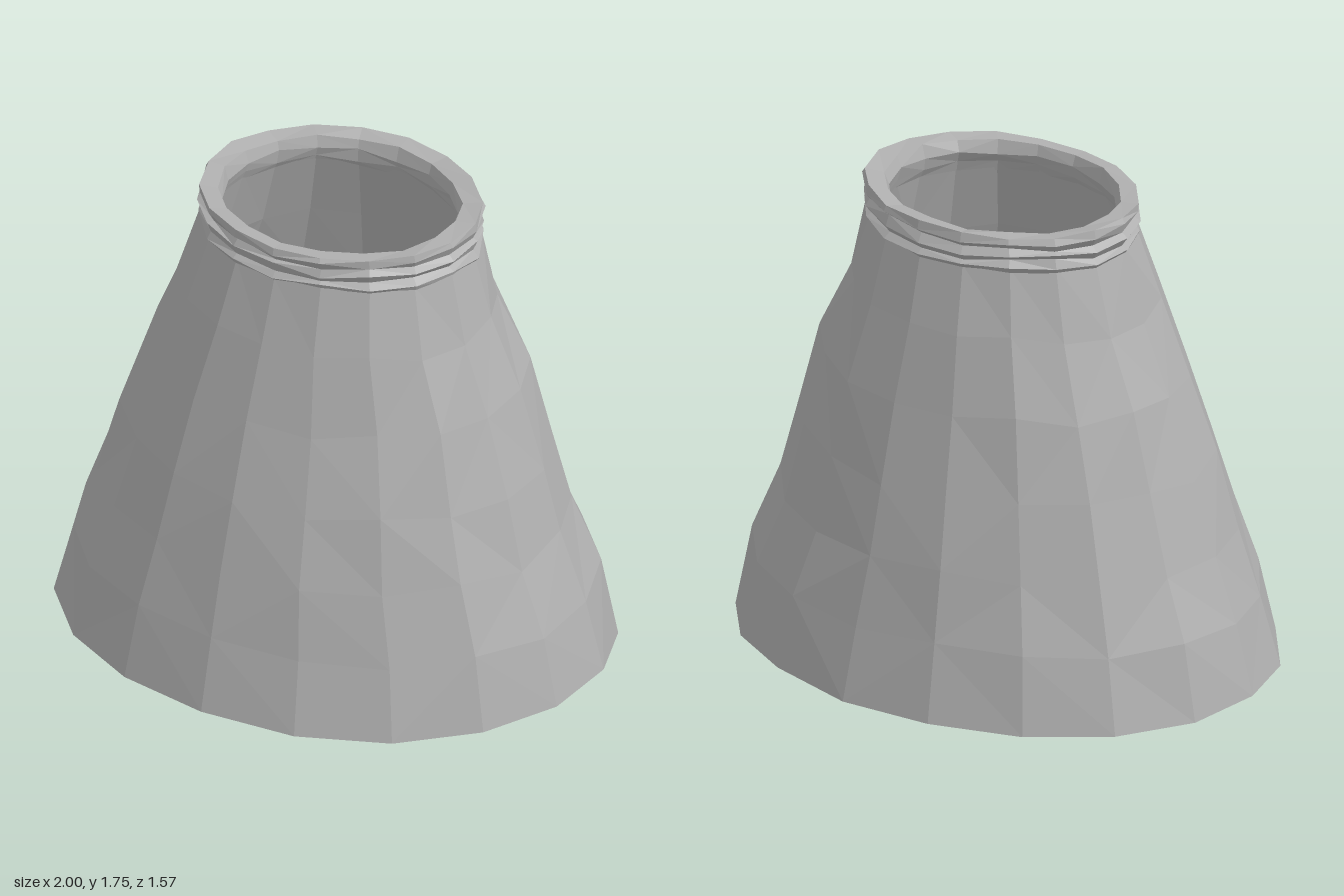
import * as THREE from 'three';

const SIDES = 18;

// Small seeded noise in the range -1..1
function makeNoise(seed) {
  let s = seed;
  return () => {
    s = (s * 16807) % 2147483647;
    return (s / 2147483647) * 2 - 1;
  };
}

// One oval ring: height, left end, right end, back end, front end, jitter in radius and height
function ring([y, x0, x1, z0, z1, jr = 0, jy = 0], noise) {
  const pts = [];
  for (let i = 0; i < SIDES; i++) {
    const a = (i / SIDES) * Math.PI * 2;
    const k = 1 + jr * noise();
    pts.push(new THREE.Vector3(
      (x0 + x1) / 2 + ((x1 - x0) / 2) * k * Math.cos(a),
      y + jy * noise(),
      (z0 + z1) / 2 + ((z1 - z0) / 2) * k * Math.sin(a),
    ));
  }
  return pts;
}

// Joins rings into a faceted surface; the diagonals vary like crumpled cloth
function loft(name, rings, material, noise) {
  const pos = [];
  const tri = (...p) => p.forEach((v) => pos.push(v.x, v.y, v.z));
  for (let j = 0; j < rings.length - 1; j++) {
    for (let i = 0; i < SIDES; i++) {
      const n = (i + 1) % SIDES;
      const a = rings[j][i], b = rings[j + 1][i], c = rings[j + 1][n], d = rings[j][n];
      if (noise() > 0) { tri(a, b, d); tri(b, c, d); }
      else { tri(a, b, c); tri(a, c, d); }
    }
  }
  const g = new THREE.BufferGeometry();
  g.setAttribute('position', new THREE.Float32BufferAttribute(pos, 3));
  g.computeVertexNormals();
  const mesh = new THREE.Mesh(g, material);
  mesh.name = name;
  return mesh;
}

export function createModel() {
  const group = new THREE.Group();
  group.name = 'skirt';
  const cloth = new THREE.MeshStandardMaterial({ color: 0xb0b0b0, flatShading: true, side: THREE.DoubleSide });
  cloth.name = 'grey cloth';
  const noise = makeNoise(4711);
  const rings = (rows) => rows.map((r) => ring(r, noise));

  // Flared outer cloth, hem to waist
  const outer = rings([
    [0.032, -1.0, 1.0, -0.795, 0.795, 0, 0.008],
    [0.30, -0.935, 0.935, -0.735, 0.73, 0.008, 0.015],
    [0.55, -0.85, 0.84, -0.675, 0.67, 0.012, 0.02],
    [0.81, -0.77, 0.77, -0.615, 0.60, 0.012, 0.02],
    [1.10, -0.68, 0.685, -0.55, 0.515, 0.015, 0.02],
    [1.37, -0.565, 0.57, -0.48, 0.445, 0.015, 0.02],
    [1.62, -0.49, 0.51, -0.415, 0.37, 0.008, 0.012],
  ]);
  // Dipping corner of the hem
  outer[0][SIDES - 1].y = 0;
  outer[0][SIDES - 2].y = 0.018;
  group.add(loft('outerCloth', outer, cloth, noise));

  // Inner lining, waist to hem
  const lining = rings([
    [1.64, -0.43, 0.445, -0.37, 0.33],
    [1.37, -0.515, 0.52, -0.435, 0.40, 0.01, 0.02],
    [1.10, -0.635, 0.64, -0.505, 0.47, 0.01, 0.02],
    [0.81, -0.725, 0.725, -0.57, 0.555, 0.01, 0.02],
    [0.30, -0.89, 0.89, -0.69, 0.685, 0.008, 0.015],
    [0.04, -0.955, 0.955, -0.75, 0.75, 0, 0.008],
  ]);
  lining[5][SIDES - 1].y = 0.012;
  group.add(loft('lining', lining, cloth, noise));

  // Hem edge closing the two layers
  group.add(loft('hemEdge', [lining[5], outer[0]], cloth, noise));

  // Crumpled waistband: gathered folds outside, flat rim, plain inside
  const band = rings([
    [1.595, -0.485, 0.505, -0.41, 0.365, 0.008, 0.01],
    [1.62, -0.502, 0.518, -0.432, 0.378, 0.01, 0.014],
    [1.645, -0.485, 0.50, -0.415, 0.36, 0.01, 0.014],
    [1.665, -0.505, 0.515, -0.435, 0.375, 0.01, 0.014],
    [1.69, -0.482, 0.50, -0.415, 0.358, 0.01, 0.012],
    [1.715, -0.50, 0.515, -0.437, 0.375, 0.01, 0.01],
    [1.74, -0.492, 0.505, -0.43, 0.37, 0.01, 0.007],
    [1.735, -0.425, 0.435, -0.375, 0.325, 0.01, 0.007],
    [1.69, -0.41, 0.42, -0.36, 0.31, 0.01, 0.01],
    [1.65, -0.425, 0.435, -0.365, 0.325, 0.01, 0.01],
    [1.61, -0.44, 0.45, -0.38, 0.34, 0, 0],
  ]);
  group.add(loft('waistband', band, cloth, noise));

  return group;
}
